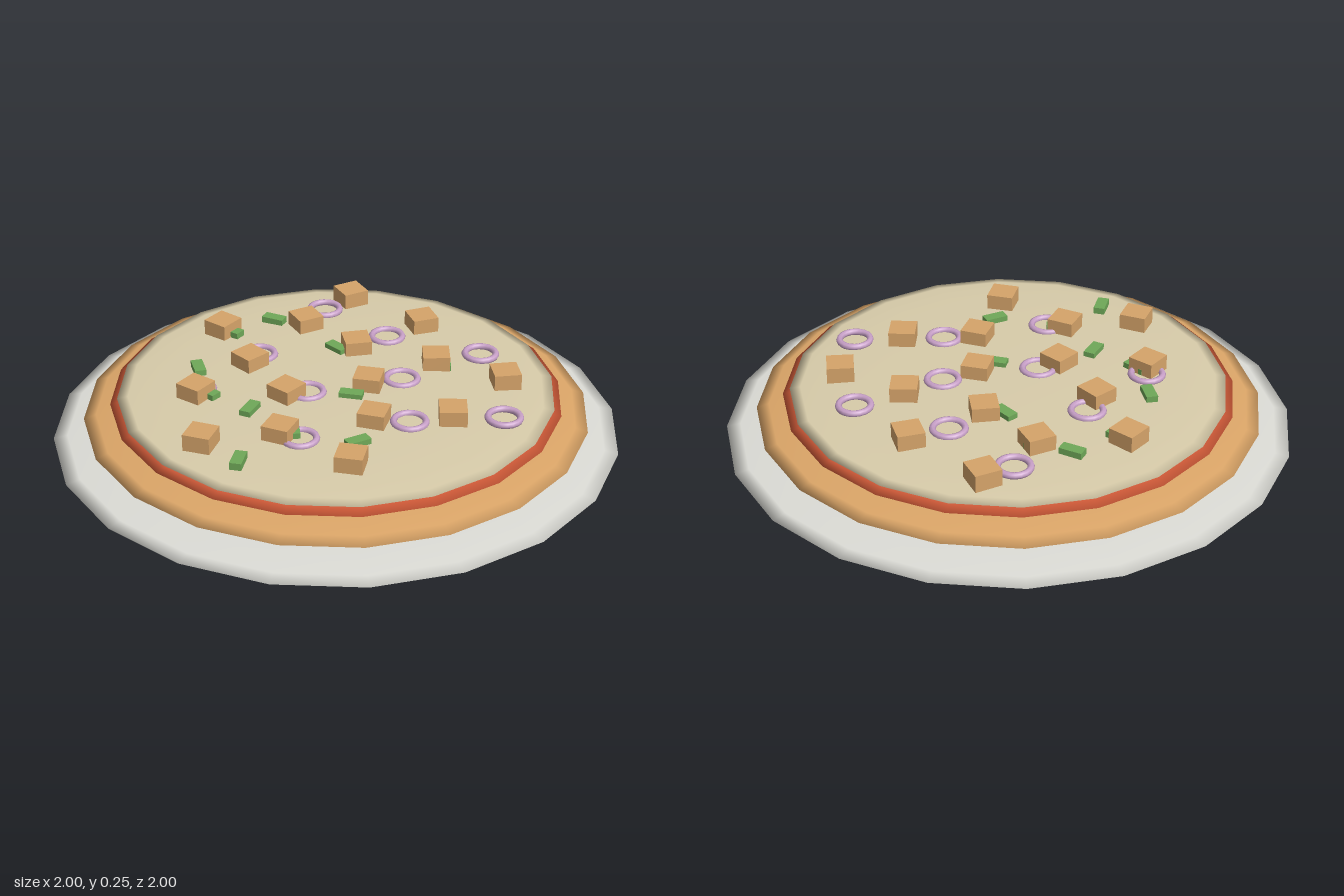
import * as THREE from 'three';

const paint = (name, color) => {
  const m = new THREE.MeshStandardMaterial({ color });
  m.name = name;
  return m;
};

export function createModel() {
  const pizza = new THREE.Group();
  pizza.name = 'pizza';

  const plateGrey = paint('plate grey', 0xdcdcd6);
  const crustTan = paint('crust tan', 0xdca668);
  const sauceRed = paint('sauce red', 0xd05a38);
  const cheeseCream = paint('cheese cream', 0xd8ccaa);
  const cubeBrown = paint('cube brown', 0xd6a46a);
  const herbGreen = paint('herb green', 0x6fa858);
  const onionPurple = paint('onion purple', 0xc8a0c8);

  const add = (name, geometry, material, x, y, z, turn = 0) => {
    const mesh = new THREE.Mesh(geometry, material);
    mesh.name = name;
    mesh.position.set(x, y, z);
    mesh.rotation.y = turn;
    pizza.add(mesh);
  };

  // Stacked lens-shaped layers: name, material, radius, half height, centre height
  for (const [name, material, r, h, y] of [
    ['plate', plateGrey, 1, 0.032, 0.032],
    ['crust', crustTan, 0.89, 0.046, 0.106],
    ['sauce', sauceRed, 0.795, 0.03, 0.159],
    ['cheese', cheeseCream, 0.77, 0.02, 0.18],
  ]) {
    add(name, new THREE.SphereGeometry(1, 20, 10).scale(r, h, r), material, 0, y, 0);
  }

  // Chunky cubes: x, z, turn
  const cube = new THREE.BoxGeometry(0.096, 0.065, 0.096);
  for (const [x, z, turn] of [
    [-0.08, -0.635, 0.7], [0.22, -0.48, 0.55], [-0.2, -0.395, 0.7], [-0.49, -0.29, -0.45],
    [0.02, -0.255, 0.4], [0.32, -0.205, 0.22], [0.58, -0.13, 0.35], [-0.33, -0.065, -0.6],
    [0.115, 0, 0], [-0.15, 0.13, -0.5], [-0.46, 0.185, -0.42], [0.18, 0.235, -0.08],
    [0.44, 0.16, 0.2], [-0.11, 0.39, -0.2], [-0.355, 0.495, -0.12], [0.16, 0.52, 0],
  ]) add('toppingCube', cube, cubeBrown, x, 0.2175, z, turn);

  // Onion rings: x, z
  const ring = new THREE.TorusGeometry(0.056, 0.012, 8, 20).rotateX(Math.PI / 2);
  for (const [x, z] of [
    [-0.16, -0.54], [0.11, -0.375], [0.465, -0.315], [-0.315, -0.145], [0.22, -0.075],
    [-0.085, 0.085], [-0.465, 0.145], [0.3, 0.21], [0.61, 0.115], [-0.04, 0.395],
  ]) add('onionRing', ring, onionPurple, x, 0.2, z);

  // Green strips: x, z, turn
  const strip = new THREE.BoxGeometry(0.083, 0.026, 0.041);
  for (const [x, z, turn] of [
    [-0.325, -0.41, -0.22], [-0.5, 0.01, -1.1], [0.07, 0.08, 0], [-0.25, 0.25, 1.35],
    [0.155, 0.385, 0.7], [-0.205, 0.58, 1.57], [-0.05, -0.24, -0.6], [-0.455, -0.28, -0.4],
    [0.335, -0.185, 0.2], [-0.42, 0.175, -0.5], [-0.185, -0.385, 0.6], [-0.085, 0.385, 0.3],
  ]) add('greenStrip', strip, herbGreen, x, 0.204, z, turn);

  return pizza;
}
